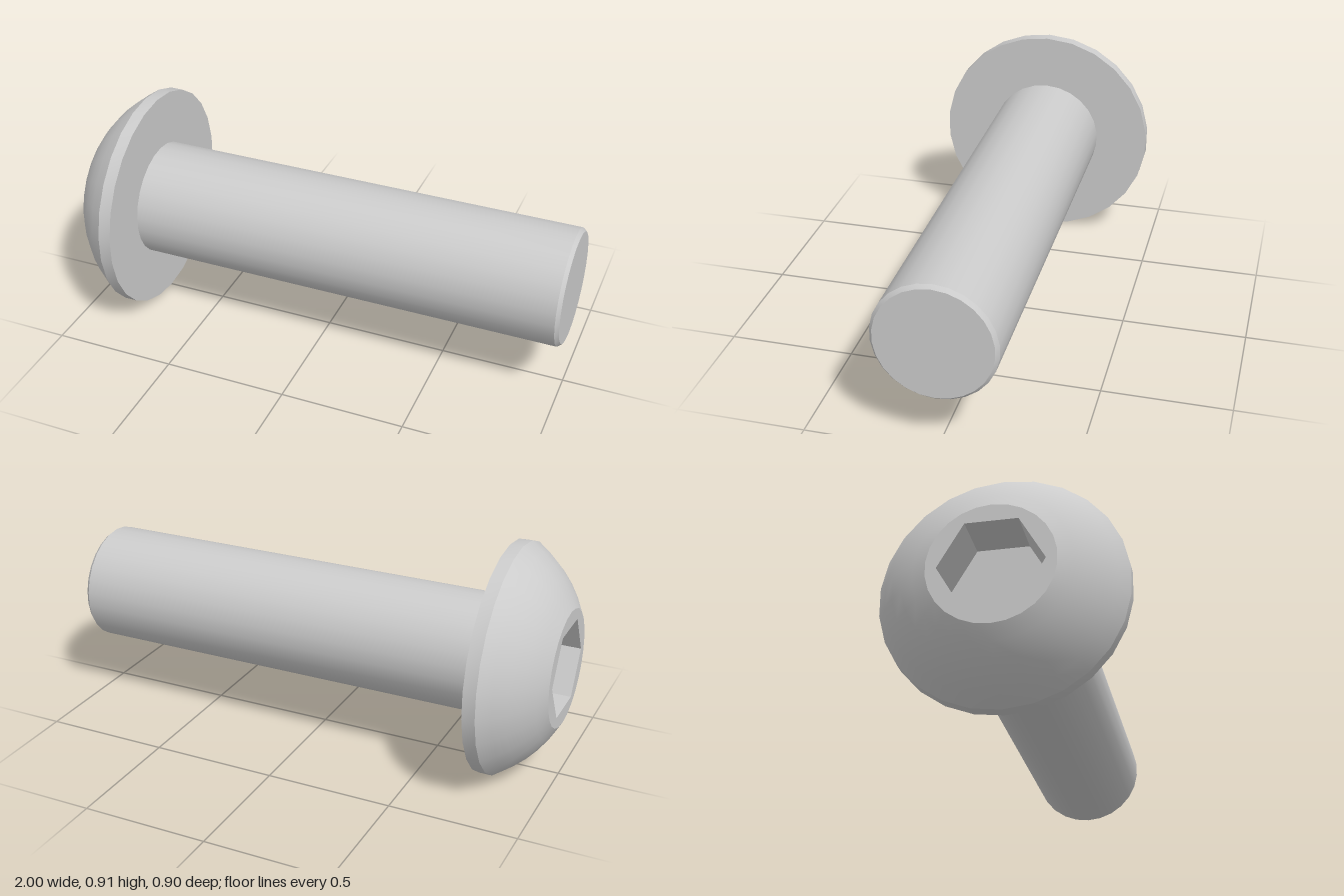
import * as THREE from 'three';
import { toCreasedNormals } from 'three/addons/utils/BufferGeometryUtils.js';

const SIDES = 26, HEAD_R = 0.453, SHANK_R = 0.233, FACE_R = 0.23;
const HEX_R = 0.19, HEX_DEPTH = 0.19;

export function createModel() {
  const group = new THREE.Group();
  const grey = new THREE.MeshStandardMaterial({ color: 0xcccccc });

  const add = (name, geometry, material = grey) => {
    const mesh = new THREE.Mesh(geometry, material);
    mesh.name = name;
    group.add(mesh);
    return mesh;
  };

  // Turned part about the x axis from [x, radius] pairs, with a corner at the top
  const turned = (profile) => {
    const points = profile.map(([x, r]) => new THREE.Vector2(r, x));
    const geometry = new THREE.LatheGeometry(points, SIDES, Math.PI / 2);
    geometry.rotateZ(-Math.PI / 2);
    return toCreasedNormals(geometry, 0.5);
  };

  const polygon = (radius, sides, start = 0) =>
    Array.from({ length: sides }, (_, i) => {
      const a = start + (i / sides) * Math.PI * 2;
      return new THREE.Vector2(radius * Math.cos(a), radius * Math.sin(a));
    });

  // Domed head: spherical arc, straight rim, flat underside
  const centre = -0.52, sphereR = Math.hypot(-1 - centre, FACE_R);
  const a0 = Math.atan2(FACE_R, 1 + centre), a1 = Math.atan2(HEAD_R, 0.8 + centre);
  const dome = [];
  for (let i = 0; i <= 5; i++) {
    const a = a0 + ((a1 - a0) * i) / 5;
    dome.push([centre - sphereR * Math.cos(a), sphereR * Math.sin(a)]);
  }
  dome[5] = [-0.8, HEAD_R];
  add('head', turned([...dome, [-0.75, HEAD_R], [-0.75, SHANK_R]]));

  // Flat head face with the hexagonal opening
  const face = new THREE.Shape(polygon(FACE_R, SIDES, Math.PI / 2));
  face.holes.push(new THREE.Path(polygon(HEX_R, 6).reverse()));
  add('headFace', new THREE.ShapeGeometry(face).rotateY(-Math.PI / 2)).position.x = -1;

  // Socket walls, seen from inside, and floor
  const inner = new THREE.MeshStandardMaterial({
    color: 0xcccccc, flatShading: true, side: THREE.BackSide,
  });
  const walls = new THREE.CylinderGeometry(HEX_R, HEX_R, HEX_DEPTH, 6, 1, true);
  add('socketWalls', walls.rotateZ(Math.PI / 2), inner).position.x = -1 + HEX_DEPTH / 2;
  const floor = new THREE.CircleGeometry(HEX_R, 6).rotateY(-Math.PI / 2);
  add('socketFloor', floor).position.x = -1 + HEX_DEPTH;

  // Plain shank with a chamfered tip
  add('shank', turned([[-0.75, SHANK_R], [0.985, SHANK_R], [1, 0.22], [1, 0]]));

  // Rest the head rim on the ground
  group.children.forEach((part) => { part.position.y = HEAD_R; });
  return group;
}
